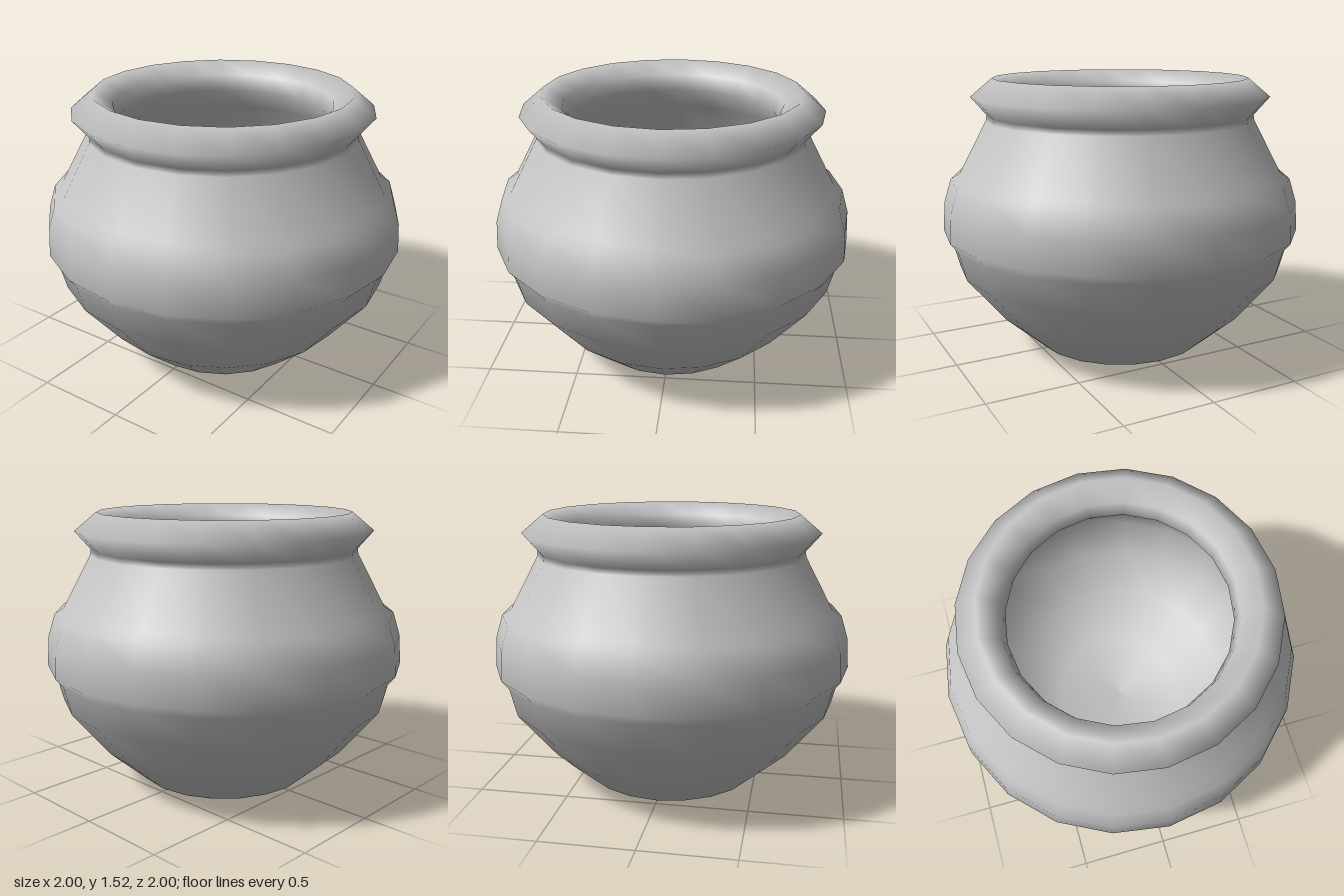
import * as THREE from 'three';

const SIDES = 20;

export function createModel() {
  const pot = new THREE.Group();
  pot.name = 'pot';
  const clay = new THREE.MeshStandardMaterial({ color: 0xc4c4c4 });
  clay.name = 'grey clay';

  // Revolve a [radius, height] profile; bottom to top faces outward.
  const turn = (name, profile) => {
    const points = profile.map(([r, y]) => new THREE.Vector2(r, y));
    const mesh = new THREE.Mesh(new THREE.LatheGeometry(points, SIDES), clay);
    mesh.name = name;
    pot.add(mesh);
  };

  // Outer body with raised belly band, pinched neck, rolled lip and hollow inside
  turn('body', [
    [0.46, 0], [0.49, 0.015], [0.71, 0.21], [0.92, 0.47], [0.96, 0.63],
    [1.0, 0.68], [0.99, 0.84], [0.95, 0.97], [0.9, 1.0], // belly band
    [0.745, 1.29], [0.74, 1.32], [0.825, 1.42], [0.705, 1.52], // neck and lip
    [0.6, 1.45], [0.58, 1.36], [0.65, 1.24], // mouth
    [0.82, 0.97], [0.88, 0.75], [0.82, 0.5], [0.63, 0.25], [0.38, 0.12], [0, 0.08], // inner bowl
  ]);

  // Flat underside
  const base = new THREE.Mesh(new THREE.CircleGeometry(0.46, SIDES), clay);
  base.rotation.x = Math.PI / 2;
  base.name = 'base';
  pot.add(base);

  return pot;
}
